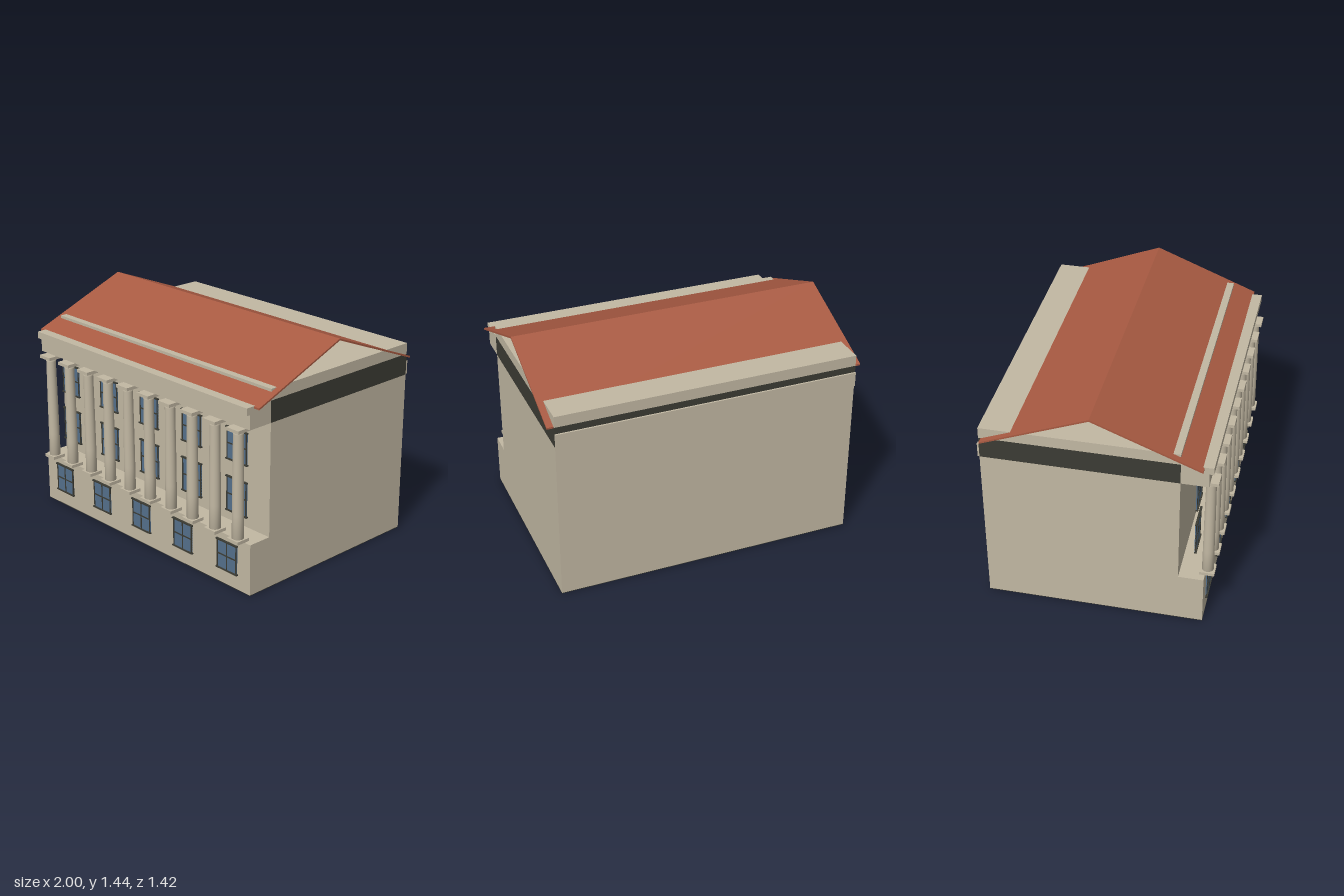
import * as THREE from 'three';

const mat = (name, color) => {
  const m = new THREE.MeshStandardMaterial({ color });
  m.name = name;
  return m;
};

export function createModel() {
  const stone = mat('stone', 0xc2b8a3);
  const roofTile = mat('roof tile', 0xa85a42);
  const dark = mat('dark trim', 0x3c3c34);
  const glass = mat('window glass', 0x54708c);

  const model = new THREE.Group();
  model.name = 'colonnadedBuilding';

  // Box given by its limits on each axis
  const box = (parent, name, m, [x0, x1], [y0, y1], [z0, z1]) => {
    const mesh = new THREE.Mesh(new THREE.BoxGeometry(x1 - x0, y1 - y0, z1 - z0), m);
    mesh.position.set((x0 + x1) / 2, (y0 + y1) / 2, (z0 + z1) / 2);
    mesh.name = name;
    parent.add(mesh);
    return mesh;
  };

  // Main masses
  const W = [-0.96, 0.96];
  box(model, 'groundSlab', dark, W, [0, 0.004], [-0.695, 0.65]);
  box(model, 'basement', stone, W, [0.004, 0.33], [-0.695, 0.65]);
  box(model, 'mainWalls', stone, W, [0.33, 1.045], [-0.695, 0.495]);
  box(model, 'darkFrieze', dark, W, [1.045, 1.18], [-0.695, 0.495]);
  box(model, 'attic', stone, W, [1.18, 1.25], [-0.695, 0.495]);

  // Entablature at the front, plain band at the back
  box(model, 'entablature', stone, W, [1.045, 1.137], [0.495, 0.66]);
  box(model, 'cornice', stone, W, [1.137, 1.182], [0.495, 0.686]);
  box(model, 'backBand', stone, W, [1.045, 1.137], [-0.706, -0.695]);

  // Thin gabled roof, open at both ends
  const t = 0.011;
  const section = [[0.63, 1.168], [0.63, 1.168 + t], [-0.025, 1.438], [-0.68, 1.168 + t],
    [-0.68, 1.168], [-0.025, 1.438 - t]];
  const shape = new THREE.Shape(section.map(([z, y]) => new THREE.Vector2(-z, y)));
  const roofGeo = new THREE.ExtrudeGeometry(shape, { depth: 2, bevelEnabled: false });
  roofGeo.translate(0, 0, -1).rotateY(Math.PI / 2);
  const roof = new THREE.Mesh(roofGeo, roofTile);
  roof.name = 'roof';
  model.add(roof);

  // Ten tapered columns with square plinths and capitals
  const shaftGeo = new THREE.LatheGeometry([
    [0, 0.35], [0.036, 0.35], [0.035, 0.5], [0.034, 0.7], [0.031, 1.0], [0.037, 1.02], [0, 1.02],
  ].map(([r, y]) => new THREE.Vector2(r, y)), 24);
  const columns = new THREE.Group();
  columns.name = 'columns';
  for (let i = 0; i < 10; i++) {
    const x = -0.867 + i * 0.1927;
    const column = new THREE.Group();
    column.name = 'column';
    column.position.set(x, 0, 0.66);
    const shaft = new THREE.Mesh(shaftGeo, stone);
    shaft.name = 'shaft';
    column.add(shaft);
    box(column, 'plinth', stone, [-0.046, 0.046], [0.33, 0.35], [-0.046, 0.046]);
    box(column, 'capital', stone, [-0.05, 0.05], [1.02, 1.04], [-0.05, 0.05]);
    columns.add(column);
  }
  model.add(columns);

  // Two by two window with a dark frame and small head and sill ledges
  const addWindow = (x, y0, y1, z) => {
    const win = new THREE.Group();
    win.name = 'window';
    win.position.set(x, 0, z);
    const h = 0.083, b = 0.004, zf = [0, 0.009], mid = (y0 + y1) / 2;
    box(win, 'glass', glass, [-h, h], [y0, y1], [0, 0.006]);
    for (const bx of [-h + b, 0, h - b])
      box(win, 'mullion', dark, [bx - b, bx + b], [y0, y1], zf);
    box(win, 'transom', dark, [-h, h], [mid - b, mid + b], zf);
    box(win, 'sill', dark, [-h - 0.006, h + 0.006], [y0 - b, y0 + b], [0, 0.014]);
    box(win, 'head', dark, [-h - 0.006, h + 0.006], [y1 - b, y1 + b], [0, 0.014]);
    model.add(win);
  };
  for (let i = -2; i <= 2; i++) {
    const x = i * 0.3854;
    addWindow(x, 0.1, 0.284, 0.65);
    addWindow(x, 0.447, 0.663, 0.572);
    addWindow(x, 0.774, 0.972, 0.572);
  }

  return model;
}
